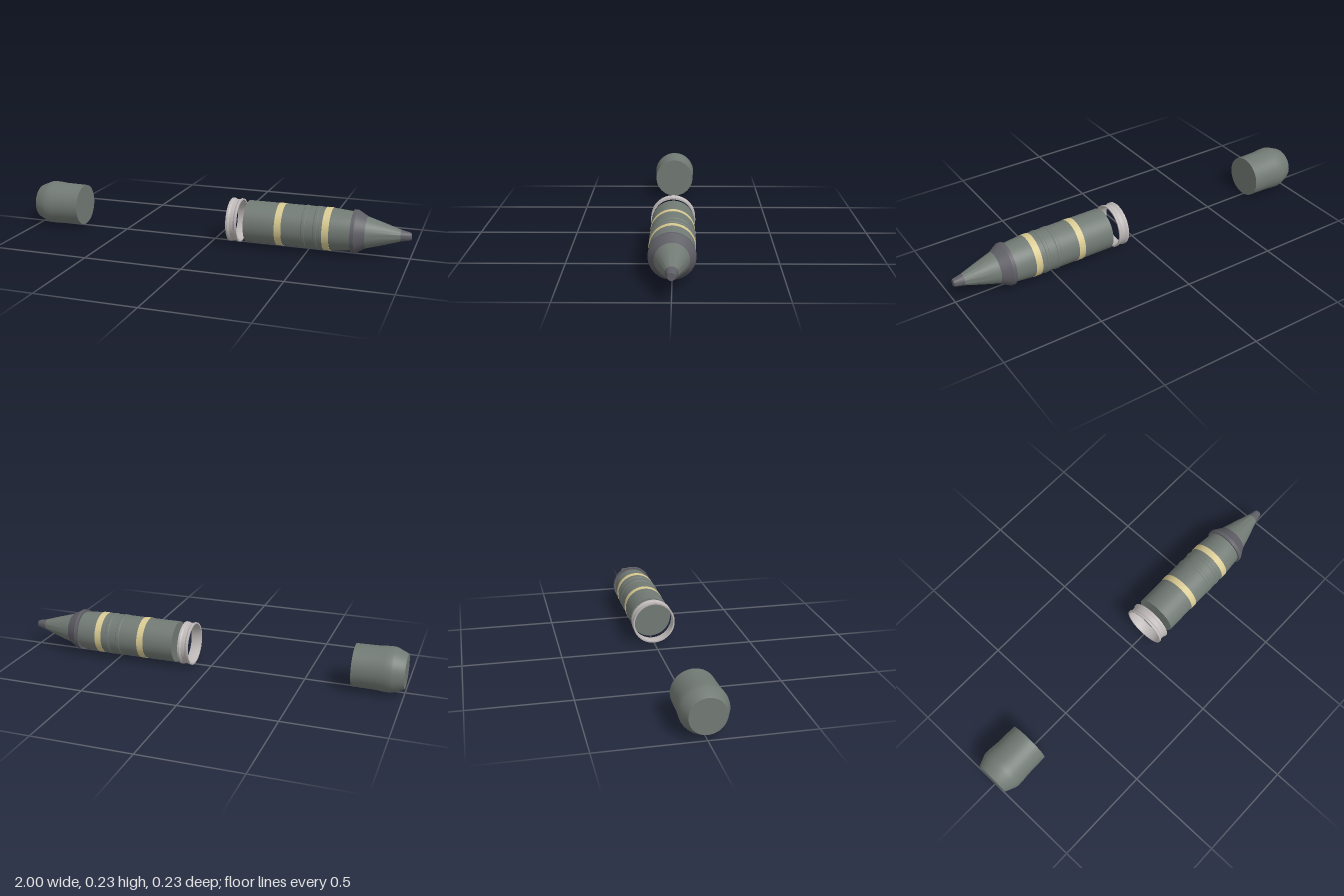
import * as THREE from 'three';
import { toCreasedNormals } from 'three/addons/utils/BufferGeometryUtils.js';

const AXIS_Y = 0.1135;
const paint = (color) => new THREE.MeshStandardMaterial({ color });

export function createModel() {
  const model = new THREE.Group();
  const olive = paint(0x727a74);
  const dark = paint(0x5f5f66);
  const cream = paint(0xd8ca92);
  const silver = paint(0xbfb9b9);
  silver.side = THREE.DoubleSide;

  // Turn a profile of [x, radius] pairs around the long axis
  function turned(name, profile, material, crease = 0.5) {
    const points = profile.map(([x, r]) => new THREE.Vector2(r, x));
    let geometry = new THREE.LatheGeometry(points, 48);
    geometry.rotateZ(-Math.PI / 2);
    geometry = toCreasedNormals(geometry, crease);
    const mesh = new THREE.Mesh(geometry, material);
    mesh.name = name;
    mesh.position.y = AXIS_Y;
    model.add(mesh);
  }

  // Separate rear base, with a chamfered end
  turned('base', [
    [-1, 0], [-1, 0.086], [-0.992, 0.091], [-0.945, 0.111], [-0.93, 0.1135],
    [-0.9, 0.1125], [-0.86, 0.109], [-0.745, 0.107], [-0.745, 0],
  ], olive, 0.7);

  // Open ring with a lip at each end
  turned('ring', [
    [0.09, 0.103], [0.09, 0.111], [0.1, 0.111], [0.108, 0.106], [0.128, 0.106],
    [0.136, 0.111], [0.146, 0.111], [0.146, 0.103], [0.118, 0.1], [0.09, 0.103],
  ], silver);

  // Main body, narrowing towards the collar
  turned('body', [
    [0.18, 0], [0.18, 0.106], [0.6, 0.106], [0.63, 0.105],
    [0.72, 0.097], [0.72, 0],
  ], olive);

  // Raised rings and painted bands around the body
  for (const x of [0.485, 0.545]) {
    turned('raisedRing', [
      [x - 0.012, 0.104], [x - 0.007, 0.1085], [x + 0.007, 0.1085], [x + 0.012, 0.104],
    ], olive);
  }
  for (const x of [0.358, 0.597]) {
    turned('paintedBand', [
      [x - 0.017, 0.104], [x - 0.017, 0.1075], [x + 0.017, 0.1075], [x + 0.017, 0.104],
    ], cream);
  }

  // Collar, nose cone and tip
  turned('collar', [
    [0.717, 0.09], [0.717, 0.1075], [0.735, 0.1075], [0.785, 0.079],
  ], dark);
  turned('noseCone', [[0.785, 0.079], [0.87, 0.054], [0.95, 0.029]], olive);
  turned('noseTip', [[0.95, 0.029], [0.993, 0.02], [1, 0.017], [1, 0]], dark);

  return model;
}
